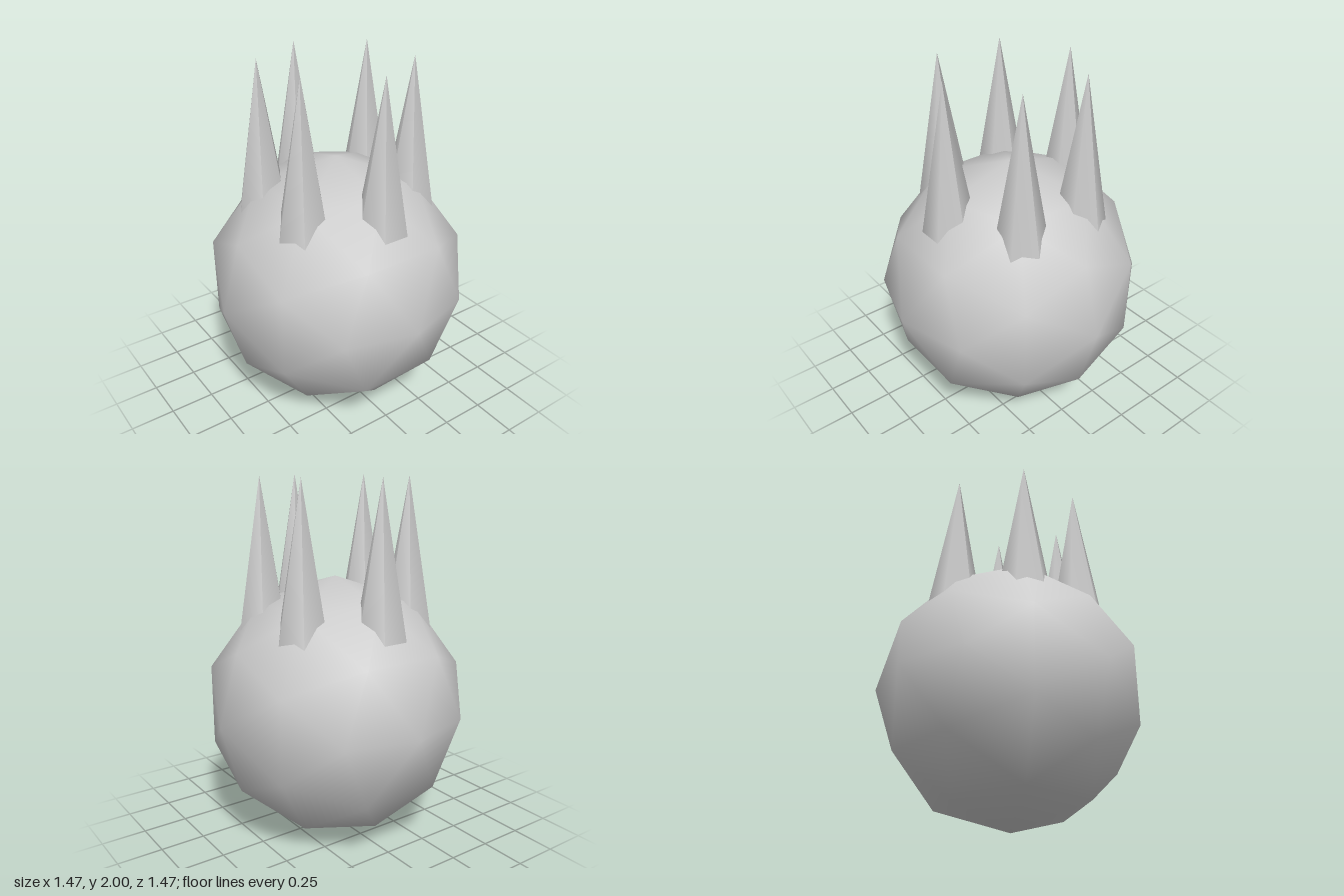
import * as THREE from 'three';

export function createModel() {
  const group = new THREE.Group();
  const lightGrey = new THREE.MeshStandardMaterial({ color: 0xcccccc });
  lightGrey.name = 'light grey';

  // Faceted-outline ball with smooth shading
  const radius = 0.733;
  const ball = new THREE.Mesh(new THREE.IcosahedronGeometry(radius, 1), lightGrey);
  ball.name = 'ball';
  ball.position.y = radius;
  group.add(ball);

  // Crown of six upright six-sided spikes sunk into the ball
  const spikeHeight = 1, ringRadius = 0.4, tipY = 2;
  const spikeGeometry = new THREE.ConeGeometry(0.176, spikeHeight, 6);
  const spikes = new THREE.Group();
  spikes.name = 'spikes';
  for (let i = 0; i < 6; i++) {
    const angle = (i * Math.PI) / 3;
    const spike = new THREE.Mesh(spikeGeometry, lightGrey);
    spike.name = `spike${i + 1}`;
    spike.position.set(
      Math.cos(angle) * ringRadius,
      tipY - spikeHeight / 2,
      Math.sin(angle) * ringRadius
    );
    spikes.add(spike);
  }
  group.add(spikes);

  return group;
}
